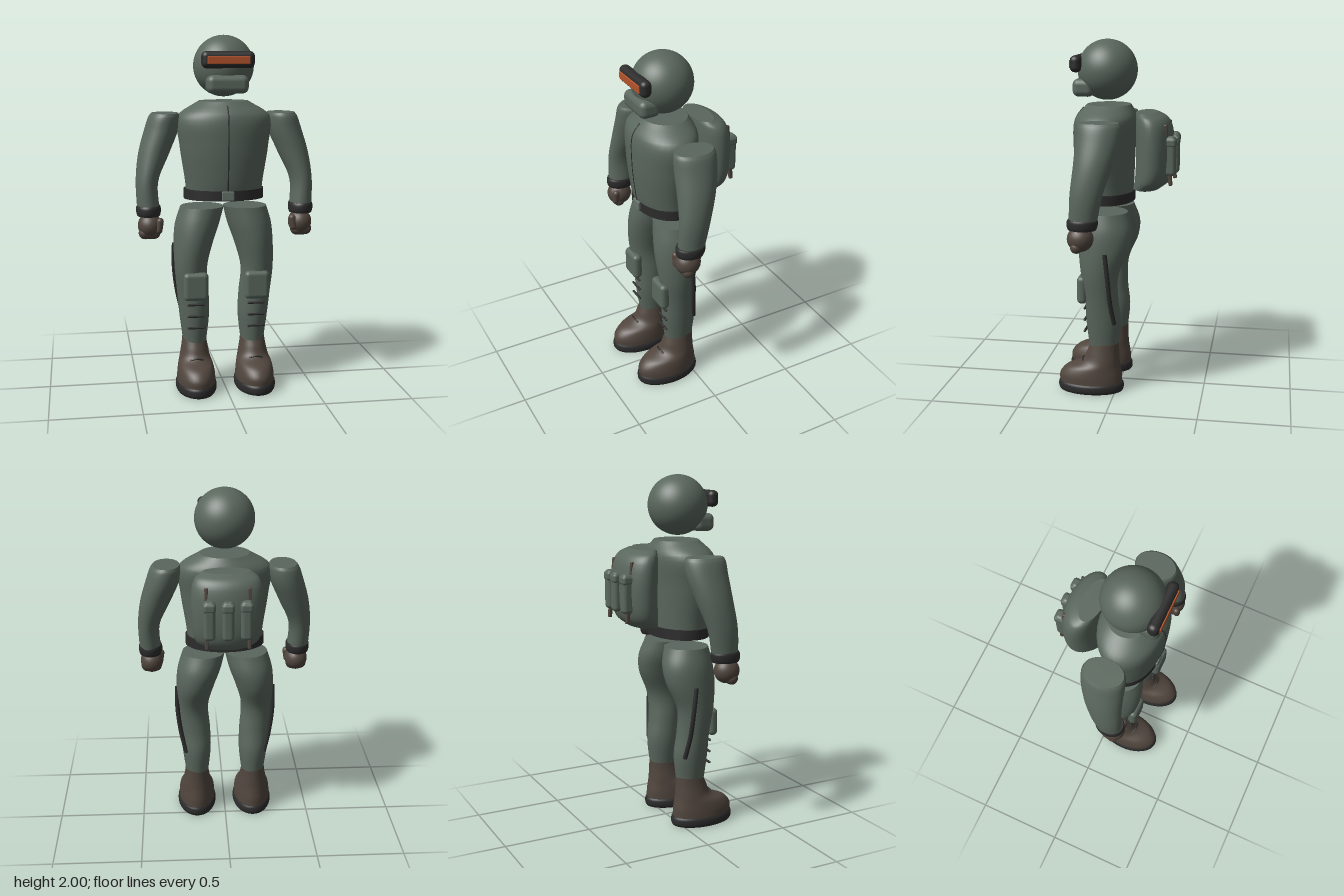
import * as THREE from 'three';
import { RoundedBoxGeometry } from 'three/addons/geometries/RoundedBoxGeometry.js';

const V = (x, y, z) => new THREE.Vector3(x, y, z);

// Smooth body through elliptical rings [y, cx, cz, rx, rz], bottom to top, with flat caps
function loft(rings, side = 1, seg = 40, sub = 6) {
  const centres = new THREE.CatmullRomCurve3(rings.map(r => V(r[1] * side, r[0], r[2])));
  const radii = new THREE.CatmullRomCurve3(rings.map(r => V(r[3], r[0], r[4])));
  const rows = (rings.length - 1) * sub, pos = [], idx = [];
  const ring = (t) => {
    const c = centres.getPoint(t), r = radii.getPoint(t);
    for (let j = 0; j < seg; j++) {
      const a = j / seg * Math.PI * 2;
      pos.push(c.x + r.x * Math.cos(a), c.y, c.z + r.z * Math.sin(a));
    }
    return c;
  };
  for (let i = 0; i <= rows; i++) ring(i / rows);
  for (let i = 0; i < rows; i++) for (let j = 0; j < seg; j++) {
    const k = (j + 1) % seg, a = i * seg + j, b = i * seg + k;
    idx.push(a, a + seg, b, b, a + seg, b + seg);
  }
  for (const t of [0, 1]) {
    const base = pos.length / 3, c = ring(t);
    pos.push(c.x, c.y, c.z);
    for (let j = 0; j < seg; j++) {
      const a = base + j, b = base + (j + 1) % seg;
      idx.push(base + seg, ...(t ? [b, a] : [a, b]));
    }
  }
  const g = new THREE.BufferGeometry();
  g.setAttribute('position', new THREE.Float32BufferAttribute(pos, 3));
  g.setIndex(idx);
  g.computeVertexNormals();
  return g;
}

const box = (w, h, d, r) => new RoundedBoxGeometry(w, h, d, 4, r);
const tube = (pts, r) => new THREE.TubeGeometry(new THREE.CatmullRomCurve3(pts), 24, r, 8);

export function createModel() {
  const model = new THREE.Group();
  const mat = (name, color) => {
    const m = new THREE.MeshStandardMaterial({ color });
    m.name = name;
    return m;
  };
  const green = mat('suit green', 0x5a675d);
  const dark = mat('dark rubber', 0x2c2c2c);
  const brown = mat('brown leather', 0x51463e);
  const orange = mat('orange lens', 0xb5542c);
  const grey = mat('buckle grey', 0x68736c);
  const add = (name, geo, material, x = 0, y = 0, z = 0) => {
    const m = new THREE.Mesh(geo, material);
    m.name = name;
    m.position.set(x, y, z);
    model.add(m);
    return m;
  };

  // Helmet with visor and jaw guard
  add('helmet', new THREE.SphereGeometry(0.168, 48, 32), green, 0, 1.832, 0.073);
  add('visorFrame', box(0.29, 0.092, 0.062, 0.029), dark, 0, 1.868, 0.232);
  add('visorLens', box(0.23, 0.042, 0.009, 0.003), orange, 0, 1.866, 0.265);
  add('jawGuard', box(0.23, 0.1, 0.12, 0.035), green, 0, 1.736, 0.196);

  // Torso, front seam and belt
  add('torso', loft([
    [1.12, 0, 0.08, 0.212, 0.15], [1.2, 0, 0.085, 0.22, 0.16], [1.4, 0, 0.09, 0.25, 0.173],
    [1.56, 0, 0.08, 0.258, 0.175], [1.64, 0, 0.065, 0.14, 0.125],
  ]), green);
  add('frontSeam', tube([V(0, 1.15, 0.236), V(0, 1.2, 0.244), V(0, 1.4, 0.262), V(0, 1.56, 0.254),
    V(0, 1.62, 0.21)], 0.004), dark);
  add('belt', loft([[1.098, 0, 0.077, 0.226, 0.16], [1.155, 0, 0.077, 0.226, 0.16]], 1, 48, 1), dark);
  add('buckle', box(0.068, 0.052, 0.02, 0.005), grey, 0, 1.128, 0.237);

  // Backpack with three pouches and two straps
  add('backpack', loft([
    [1.17, 0, -0.15, 0.13, 0.075], [1.22, 0, -0.185, 0.175, 0.1], [1.36, 0, -0.2, 0.194, 0.108],
    [1.53, 0, -0.19, 0.19, 0.1], [1.575, 0, -0.175, 0.17, 0.085], [1.6, 0, -0.15, 0.13, 0.06],
  ]), green);
  for (const x of [-0.1, 0, 0.1]) {
    const z = x ? -0.293 : -0.302;
    add('pouch', box(0.064, 0.22, 0.066, 0.022), green, x, 1.37, z);
    add('pouchFlap', box(0.07, 0.055, 0.072, 0.018), green, x, 1.445, z);
  }

  for (const s of [1, -1]) {
    const strap = add('packStrap', box(0.02, 0.34, 0.022, 0.006), brown, s * 0.115, 1.375, -0.282);
    strap.rotation.x = 0.1;

    // Arm, cuff and gloved hand
    add('arm', loft([
      [1.04, 0.43, 0.135, 0.062, 0.075], [1.2, 0.435, 0.115, 0.062, 0.088],
      [1.35, 0.395, 0.085, 0.085, 0.106], [1.48, 0.35, 0.065, 0.094, 0.12],
      [1.555, 0.332, 0.062, 0.086, 0.118], [1.575, 0.328, 0.062, 0.076, 0.108],
    ], s), green);
    add('cuff', loft([
      [1.015, 0.43, 0.138, 0.062, 0.076], [1.03, 0.43, 0.138, 0.067, 0.082],
      [1.06, 0.43, 0.136, 0.068, 0.084], [1.072, 0.43, 0.135, 0.064, 0.079],
    ], s), dark);
    const hand = add('hand', new THREE.SphereGeometry(1, 28, 20), brown, s * 0.425, 0.962, 0.15);
    hand.scale.set(0.066, 0.07, 0.072);
    const fingers = add('fingers', new THREE.CapsuleGeometry(0.035, 0.05, 8, 20), brown, s * 0.428, 0.922, 0.165);
    fingers.rotation.z = Math.PI / 2;
    const thumb = add('thumb', new THREE.CapsuleGeometry(0.02, 0.05, 8, 16), brown, s * 0.375, 0.965, 0.195);
    thumb.rotation.z = s * 0.15;

    // Trouser leg with side stripe
    add('leg', loft([
      [0.26, 0.168, 0.068, 0.066, 0.083], [0.42, 0.17, 0.07, 0.085, 0.1], [0.55, 0.178, 0.08, 0.09, 0.095],
      [0.7, 0.19, 0.088, 0.092, 0.107], [0.85, 0.172, 0.065, 0.112, 0.145],
      [0.95, 0.15, 0.058, 0.125, 0.148], [1.05, 0.122, 0.065, 0.123, 0.125],
    ], s), green);
    add('legStripe', tube([V(s * 0.28, 0.84, 0.045), V(s * 0.28, 0.7, 0.03),
      V(s * 0.262, 0.55, 0.018), V(s * 0.232, 0.42, 0)], 0.013), dark);

    // Knee pad and shin bars
    add('kneePad', box(0.14, 0.16, 0.056, 0.025), green, s * 0.173, 0.61, 0.186);
    for (const y of [0.5, 0.432, 0.365]) {
      const bar = add('shinBar', new THREE.CapsuleGeometry(0.007, 0.085, 4, 10), dark, s * 0.172, y, 0.172);
      bar.rotation.z = Math.PI / 2;
    }

    // Boot, lace and sole
    add('boot', loft([
      [0.045, 0.17, 0.146, 0.109, 0.182], [0.095, 0.17, 0.146, 0.107, 0.181],
      [0.14, 0.17, 0.13, 0.1, 0.158], [0.18, 0.17, 0.087, 0.087, 0.109],
      [0.24, 0.17, 0.073, 0.075, 0.092], [0.292, 0.17, 0.062, 0.068, 0.08],
    ], s), brown);
    add('bootLace', tube([V(s * 0.13, 0.178, 0.187), V(s * 0.17, 0.188, 0.193), V(s * 0.21, 0.178, 0.187)], 0.005), dark);
    add('sole', loft([
      [0, 0.17, 0.145, 0.108, 0.183], [0.014, 0.17, 0.145, 0.115, 0.19],
      [0.042, 0.17, 0.145, 0.115, 0.19], [0.055, 0.17, 0.145, 0.109, 0.184],
    ], s), dark);
  }
  return model;
}
